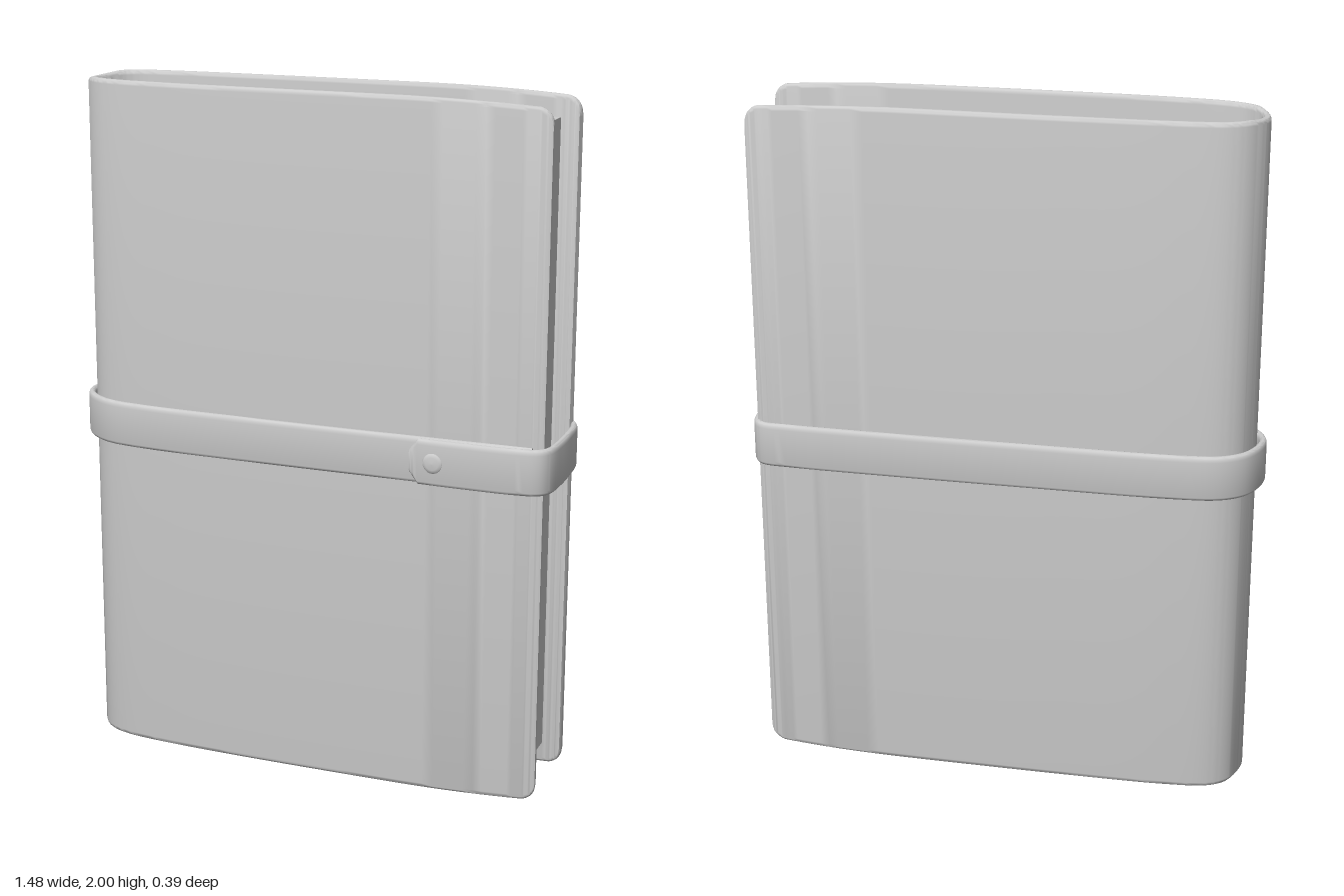
import * as THREE from 'three';
import { toCreasedNormals } from 'three/addons/utils/BufferGeometryUtils.js';

const material = new THREE.MeshStandardMaterial({ color: 0xcccccc });

function addMesh(group, name, geometry) {
  const mesh = new THREE.Mesh(geometry, material);
  mesh.name = name;
  group.add(mesh);
  return mesh;
}

// Sweeps a rounded upright strip along a path of [x, z] points, centred on y = 1.
// halfHeight(x, u) gives the strip's half height at a place on the path.
function sweepStrip(points, thickness, bevel, samples, halfHeight) {
  const curve = new THREE.CatmullRomCurve3(
    points.map(([x, z]) => new THREE.Vector3(x, 0, z)), false, 'centripetal');
  const half = thickness / 2;
  const position = [], index = [];
  const arc = 4, ring = 4 * (arc + 1);
  for (let i = 0; i <= samples; i++) {
    const u = i / samples;
    const p = curve.getPoint(u), t = curve.getTangent(u);
    const h = halfHeight(p.x, u);
    for (let c = 0; c < 4; c++) {
      const sn = c === 0 || c === 3 ? 1 : -1, sy = c < 2 ? 1 : -1;
      for (let k = 0; k <= arc; k++) {
        const a = (c + k / arc) * Math.PI / 2;
        const n = sn * (half - half * 0.9) + half * 0.9 * Math.cos(a);
        const y = sy * (h - bevel) + bevel * Math.sin(a);
        position.push(p.x + t.z * n, 1 + y, p.z - t.x * n);
      }
    }
  }
  for (let i = 0; i < samples; i++) {
    for (let j = 0; j < ring; j++) {
      const a = i * ring + j, b = i * ring + (j + 1) % ring;
      index.push(a, b, b + ring, a, b + ring, a + ring);
    }
  }
  // end caps
  const last = samples * ring;
  for (let j = 1; j < ring - 1; j++) {
    index.push(0, j + 1, j, last, last + j, last + j + 1);
  }
  const geometry = new THREE.BufferGeometry();
  geometry.setAttribute('position', new THREE.Float32BufferAttribute(position, 3));
  geometry.setIndex(index);
  return toCreasedNormals(geometry, 0.8);
}

export function createModel() {
  const group = new THREE.Group();
  group.name = 'notebook';

  // Wrapped cover: front board, rounded spine, back board
  const coverPath = [
    [0.706, 0.118], [0.69, 0.12], [0.66, 0.122], [0.55, 0.125], [0.3, 0.128], [-0.2, 0.13],
    [-0.45, 0.123], [-0.59, 0.108], [-0.65, 0.085], [-0.685, 0.05], [-0.703, 0],
    [-0.695, -0.05], [-0.667, -0.1], [-0.62, -0.13], [-0.5, -0.147], [-0.2, -0.155],
    [0.3, -0.156], [0.55, -0.155], [0.66, -0.151], [0.69, -0.148], [0.706, -0.145]];
  const coverHeight = (x) => {
    const slope = 0.016 * Math.max(0, (x - 0.25) / 0.45) ** 2;
    const corner = Math.max(0, (x - 0.665) / 0.041);
    const round = 0.04 * (1 - Math.sqrt(Math.max(0, 1 - corner * corner)));
    const spine = 0.008 * Math.max(0, (-x - 0.67) / 0.035);
    return 1 - slope - round - spine;
  };
  addMesh(group, 'cover', sweepStrip(coverPath, 0.023, 0.014, 160, coverHeight));

  // Page block, narrowing into the spine
  const outline = [
    [0.65, 0.114], [-0.2, 0.116], [-0.45, 0.11], [-0.58, 0.095], [-0.63, 0.08], [-0.67, 0.045],
    [-0.67, -0.055], [-0.64, -0.1], [-0.6, -0.12], [-0.5, -0.135], [-0.2, -0.143], [0.65, -0.143]];
  const shape = new THREE.Shape(outline.map(([x, z]) => new THREE.Vector2(x, -z)));
  const pages = new THREE.ExtrudeGeometry(shape, { depth: 1.85, bevelEnabled: false });
  pages.rotateX(-Math.PI / 2).translate(0, 0.075, 0);
  addMesh(group, 'pages', toCreasedNormals(pages, 0.5));

  // Closing strap: runs round the book and laps over itself at the front
  const strapPath = [
    [0.68, 0.15], [0.3, 0.155], [-0.2, 0.155], [-0.5, 0.146], [-0.62, 0.125], [-0.69, 0.08],
    [-0.72, 0.04], [-0.732, 0], [-0.722, -0.06], [-0.69, -0.12], [-0.63, -0.16], [-0.5, -0.178],
    [-0.1, -0.184], [0.3, -0.185], [0.6, -0.181], [0.69, -0.172], [0.713, -0.145], [0.724, -0.05],
    [0.727, 0.05], [0.72, 0.13], [0.7, 0.158], [0.64, 0.171], [0.5, 0.174], [0.39, 0.172],
    [0.355, 0.17], [0.335, 0.168]];
  const strapHeight = (x, u) =>
    u > 0.9 && x < 0.36 ? 0.066 - 0.032 * (0.36 - x) / 0.025 : 0.066;
  addMesh(group, 'strap', sweepStrip(strapPath, 0.021, 0.016, 150, strapHeight));

  // Snap button on the strap tab
  const profile = [[0, 0.012], [0.018, 0.011], [0.027, 0.008], [0.03, 0.003], [0.03, -0.006]];
  const snap = new THREE.LatheGeometry(
    profile.map(([r, y]) => new THREE.Vector2(r, y)).reverse(), 24);
  snap.rotateX(Math.PI / 2);
  addMesh(group, 'snapButton', snap).position.set(0.405, 1, 0.178);

  return group;
}
